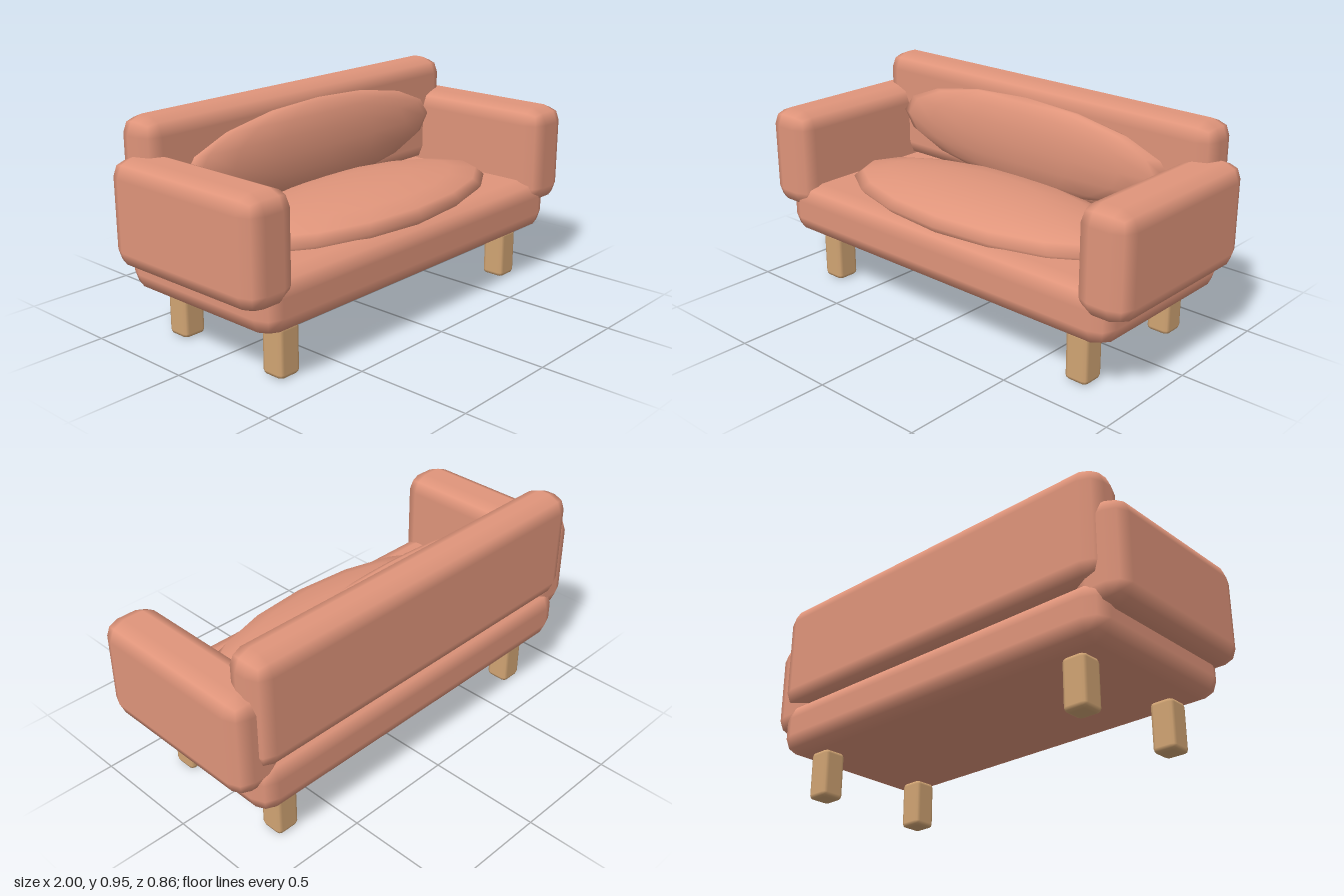
import * as THREE from 'three';
import { RoundedBoxGeometry } from 'three/addons/geometries/RoundedBoxGeometry.js';

export function createModel() {
  const sofa = new THREE.Group();
  sofa.name = 'sofa';

  const fabric = new THREE.MeshStandardMaterial({ color: 0xe0957b });
  fabric.name = 'salmon fabric';
  const wood = new THREE.MeshStandardMaterial({ color: 0xd2a574 });
  wood.name = 'light wood';

  function add(name, geometry, material, x, y, z) {
    const mesh = new THREE.Mesh(geometry, material);
    mesh.name = name;
    mesh.position.set(x, y, z);
    sofa.add(mesh);
    return mesh;
  }

  // Softly rounded block
  const block = (w, h, d, r) => new RoundedBoxGeometry(w, h, d, 1, r);

  // Stretched low-poly ball for the cushions
  const pillow = (rx, ry, rz) => new THREE.SphereGeometry(1, 16, 8).scale(rx, ry, rz);

  // Upholstered body
  add('seatBase', block(1.82, 0.24, 0.83, 0.08), fabric, 0, 0.34, -0.002);
  add('backrest', block(1.83, 0.5, 0.197, 0.075), fabric, 0, 0.7, -0.328);

  // Loose cushions
  add('seatCushion', pillow(0.765, 0.105, 0.325), fabric, 0, 0.475, 0.06);
  add('backCushion', pillow(0.765, 0.205, 0.07), fabric, 0, 0.695, -0.205);

  // Arms and legs, mirrored left and right
  for (const [side, s] of [['left', 1], ['right', -1]]) {
    add(side + 'Arm', block(0.238, 0.45, 0.82, 0.075), fabric, s * 0.881, 0.572, 0.019);
    for (const [end, z] of [['Front', 0.279], ['Back', -0.281]]) {
      add(side + end + 'Leg', block(0.108, 0.22, 0.108, 0.02), wood, s * 0.72, 0.11, z);
    }
  }

  return sofa;
}
